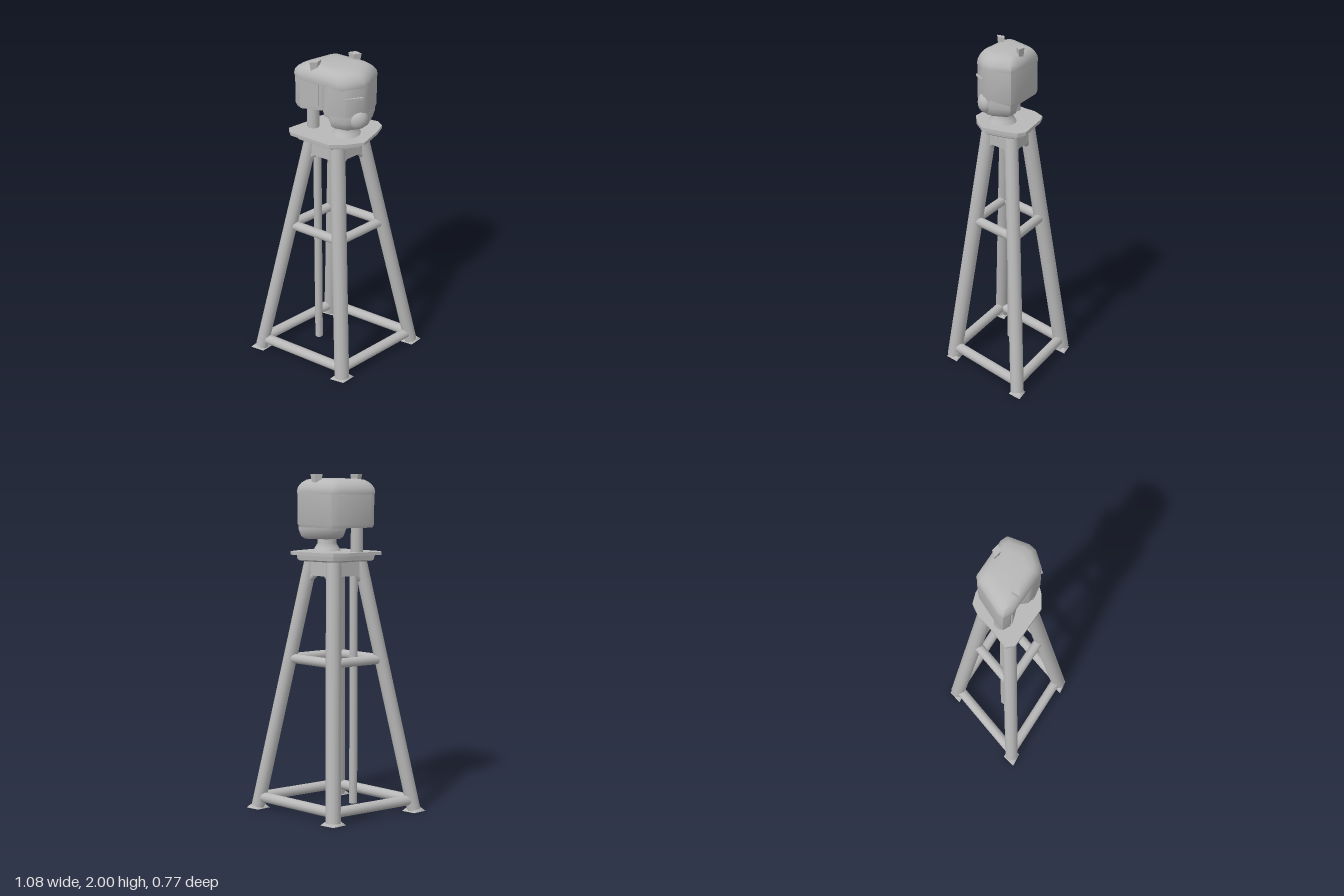
import * as THREE from 'three';
import { toCreasedNormals } from 'three/addons/utils/BufferGeometryUtils.js';

export function createModel() {
  const model = new THREE.Group();
  const steel = new THREE.MeshStandardMaterial({ color: 0xb8b8b8 });
  steel.name = 'grey steel';

  const add = (name, geometry, x = 0, y = 0, z = 0) => {
    const mesh = new THREE.Mesh(geometry, steel);
    mesh.name = name;
    mesh.position.set(x, y, z);
    model.add(mesh);
    return mesh;
  };

  // round tube between two points
  const tube = (name, a, b, radius) => {
    const mesh = add(name, new THREE.CylinderGeometry(radius, radius, a.distanceTo(b), 12));
    mesh.position.copy(a).add(b).multiplyScalar(0.5);
    mesh.quaternion.setFromUnitVectors(new THREE.Vector3(0, 1, 0), b.clone().sub(a).normalize());
    return mesh;
  };

  // closed solid from one x/z outline repeated at [height, scale] levels
  const loft = (name, outline, levels, crease = 0.7) => {
    const n = outline.length;
    const cx = outline.reduce((s, p) => s + p[0], 0) / n;
    const cz = outline.reduce((s, p) => s + p[1], 0) / n;
    const at = (level, i) => {
      const [y, s] = levels[level];
      const [x, z] = outline[i % n];
      return [cx + (x - cx) * s, y, cz + (z - cz) * s];
    };
    const pos = [];
    const last = levels.length - 1;
    for (let i = 0; i < n; i++) {
      for (let l = 0; l < last; l++) {
        pos.push(...at(l, i), ...at(l + 1, i), ...at(l, i + 1));
        pos.push(...at(l, i + 1), ...at(l + 1, i), ...at(l + 1, i + 1));
      }
      pos.push(cx, levels[0][0], cz, ...at(0, i), ...at(0, i + 1));
      pos.push(cx, levels[last][0], cz, ...at(last, i + 1), ...at(last, i));
    }
    const geometry = new THREE.BufferGeometry();
    geometry.setAttribute('position', new THREE.Float32BufferAttribute(pos, 3));
    return add(name, toCreasedNormals(geometry, crease));
  };

  // four leaning legs: [foot x, foot z, top x, top z]
  const legs = [
    [0.468, 0.04, 0.14, 0.012],
    [-0.02, 0.335, -0.012, 0.105],
    [-0.468, -0.048, -0.14, -0.015],
    [0.018, -0.335, 0.012, -0.105],
  ].map(([x, z, tx, tz]) => ({
    foot: new THREE.Vector3(x, 0.012, z),
    top: new THREE.Vector3(tx, 1.51, tz),
  }));
  const legAt = (leg, y) => leg.foot.clone().lerp(leg.top, (y - 0.012) / 1.498);

  legs.forEach((leg, i) => {
    const next = legs[(i + 1) % 4];
    const side = i % 2 === 0;
    tube('leg', leg.foot, leg.top, side ? 0.04 : 0.045);

    // flared diamond foot pad
    const pad = add('footPad', toCreasedNormals(new THREE.CylinderGeometry(0.62, 1, 0.022, 4), 0.5),
      leg.foot.x, 0.011, leg.foot.z);
    pad.scale.set(side ? 0.07 : 0.075, 1, 0.05);

    // lower and middle braces
    tube('lowerBrace', legAt(leg, 0.07), legAt(next, 0.07), 0.031);
    tube('middleBrace', legAt(leg, 0.92), legAt(next, 0.92), 0.028);

    // deep rail under the platform, with gussets at the legs
    const a = legAt(leg, 1.46), b = legAt(next, 1.46);
    const rail = add('topRail', new THREE.BoxGeometry(0.05, 0.09, a.distanceTo(b)));
    rail.position.copy(a).add(b).multiplyScalar(0.5);
    rail.rotation.y = Math.atan2(b.x - a.x, b.z - a.z);
    const lean = (p, q) => tube('gusset', legAt(p, 1.37), legAt(p, 1.43).lerp(legAt(q, 1.43), 0.3), 0.02);
    lean(leg, next);
    lean(next, leg);
  });

  // platform with a stepped underside
  const deck = [
    [-0.265, -0.055], [-0.14, -0.12], [-0.07, -0.17], [0.015, -0.195], [0.075, -0.17],
    [0.25, -0.05], [0.262, 0], [0.22, 0.07], [0.13, 0.178], [0.015, 0.188], [-0.07, 0.175], [-0.262, 0],
  ];
  loft('platform', deck, [[1.5, 0.78], [1.508, 0.84], [1.535, 0.86], [1.536, 1], [1.555, 1]], 0.4);

  // long vertical conduit rising through the platform to the head
  tube('conduit', new THREE.Vector3(-0.105, 0.05, -0.04), new THREE.Vector3(-0.105, 1.52, -0.04), 0.024);
  tube('conduitPost', new THREE.Vector3(-0.123, 1.55, -0.06), new THREE.Vector3(-0.123, 1.74, -0.06), 0.036);

  // flared pedestal
  const flare = [[0.085, 1.55], [0.07, 1.575], [0.055, 1.6], [0.055, 1.66]];
  add('pedestal', new THREE.LatheGeometry(flare.map(([r, y]) => new THREE.Vector2(r, y)), 12), 0.05, 0, 0.045);

  // head: full lid, notched middle and a smaller lower chin
  const head = [
    [-0.228, -0.06], [-0.2, -0.085], [-0.02, -0.162], [0.025, -0.165],
    [0.205, -0.01], [0.225, 0.03], [0.16, 0.14], [0.125, 0.168],
    [0.02, 0.182], [-0.02, 0.165], [-0.21, -0.01],
  ];
  const middle = [
    [-0.222, -0.06], [-0.2, -0.082], [-0.02, -0.16], [0.025, -0.162],
    [0.205, -0.01], [0.222, 0.03], [0.16, 0.14], [0.125, 0.166],
    [0.02, 0.18], [-0.06, 0.13], [-0.085, 0.1], [-0.085, 0.03], [-0.205, -0.02],
  ];
  const chin = [
    [-0.06, -0.01], [0.04, -0.06], [0.17, -0.02], [0.215, 0.03],
    [0.165, 0.135], [0.125, 0.168], [0.02, 0.18], [-0.06, 0.13],
  ];
  loft('headLid', head, [[1.88, 0.98], [1.9, 1], [1.925, 0.97], [1.95, 0.88], [1.968, 0.74], [1.975, 0.5]], 0.9);
  loft('headBody', middle, [[1.695, 0.96], [1.715, 1], [1.9, 1]]);
  loft('headChin', chin, [[1.625, 0.75], [1.64, 0.9], [1.68, 1], [1.72, 1]], 0.9);

  // framed panel inside the notch
  const panel = add('sidePanel', new THREE.BoxGeometry(0.1, 0.16, 0.008), -0.152, 1.8, 0.008);
  panel.rotation.y = -0.39;

  // rounded lens and the slot above it
  const lens = add('lens', new THREE.SphereGeometry(0.06, 20, 12), 0.095, 1.69, 0.145);
  lens.scale.set(1, 1, 0.8);
  add('frontSlot', new THREE.BoxGeometry(0.1, 0.012, 0.012), 0.07, 1.83, 0.176).rotation.y = 0.13;
  add('sideKnob', new THREE.SphereGeometry(0.026, 14, 10), 0.135, 1.925, 0.1);

  // upright tabs on the lid
  for (const [x, z, turn] of [[-0.12, 0.02, 0.4], [0.11, -0.045, -0.4]]) {
    const tab = add('lidTab', toCreasedNormals(new THREE.CylinderGeometry(0.038, 0.026, 0.07, 4), 0.4), x, 1.965, z);
    tab.rotation.y = turn;
    tab.scale.z = 0.6;
  }
  return model;
}
